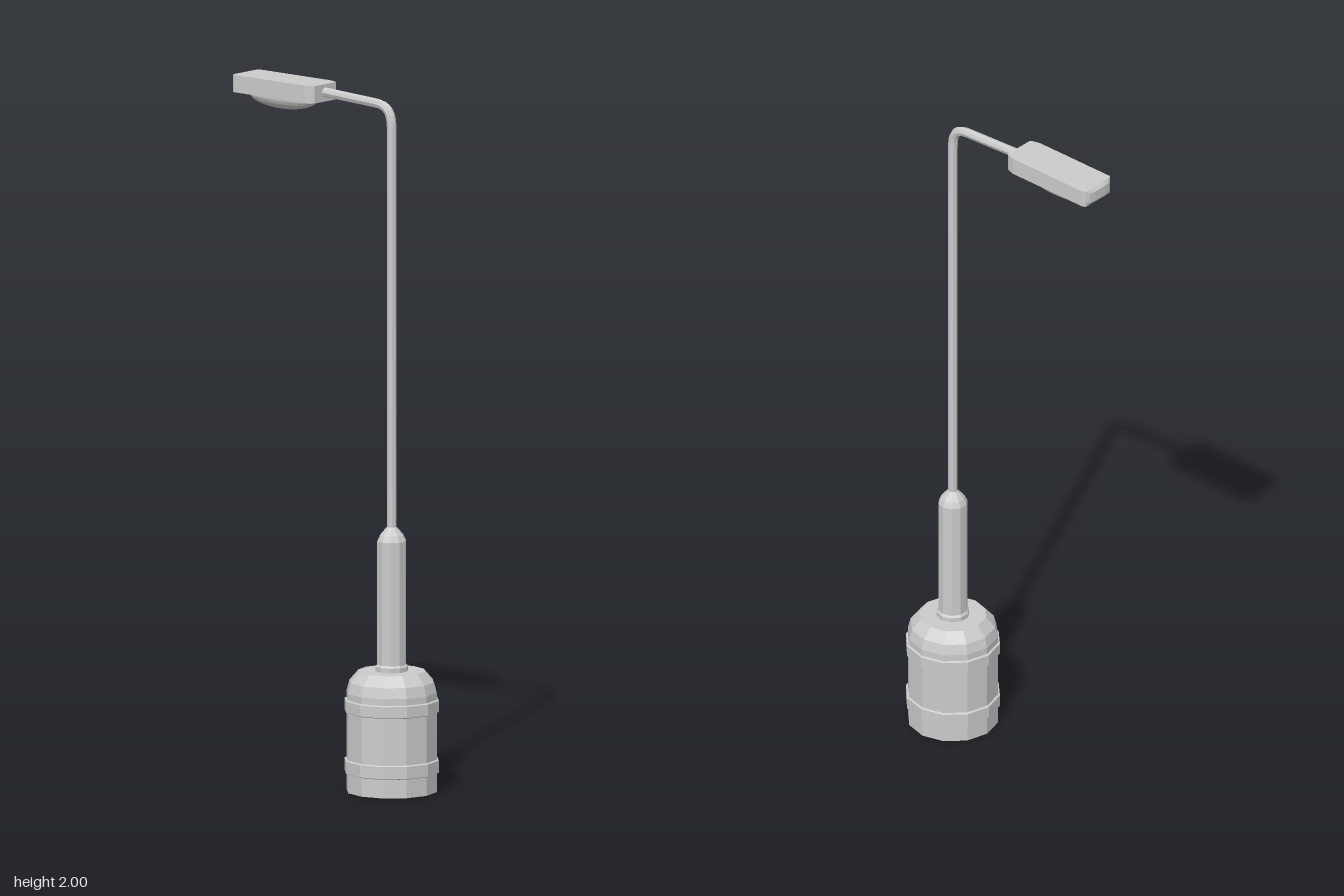
import * as THREE from 'three';

const POLE_X = 0.21;
const HEAD_X = -0.198;

const grey = () => new THREE.MeshStandardMaterial({ color: 0xcccccc, flatShading: true, side: THREE.DoubleSide });

function addMesh(parent, name, geometry) {
  const mesh = new THREE.Mesh(geometry, grey());
  mesh.name = name;
  parent.add(mesh);
  return mesh;
}

// Turned part from [radius, height] pairs
function turned(points, sides = 12) {
  return new THREE.LatheGeometry(points.map(([r, y]) => new THREE.Vector2(r, y)), sides);
}

export function createModel() {
  const model = new THREE.Group();
  model.name = 'streetLamp';

  // Everything that turns around the pole axis
  const post = new THREE.Group();
  post.name = 'post';
  post.position.x = POLE_X;
  model.add(post);

  // Hollow base drum, open underneath
  addMesh(post, 'baseDrum', turned([
    [0.13, 0], [0.13, 0.285], [0.122, 0.315], [0.096, 0.345], [0.03, 0.345],
  ]));

  // Raised bands round the drum
  for (const [name, y0, y1] of [['lowerBand', 0.053, 0.094], ['upperBand', 0.228, 0.266]]) {
    addMesh(post, name, turned([
      [0.129, y0], [0.136, y0 + 0.003], [0.136, y1 - 0.003], [0.129, y1],
    ]));
  }

  // Collar, thick sleeve and its tapered cap
  addMesh(post, 'sleeve', turned([
    [0.047, 0.345], [0.047, 0.358], [0.042, 0.364], [0.042, 0.718], [0.034, 0.735], [0.014, 0.758],
  ], 10));

  // Slim upright
  addMesh(post, 'pole', turned([[0.0135, 0.75], [0.0135, 1.9]], 8));

  // Bent arm, continuing the upright to the lamp head
  const path = new THREE.CurvePath();
  const v = (x, y) => new THREE.Vector3(x, y, 0);
  path.add(new THREE.CubicBezierCurve3(v(POLE_X, 1.898), v(POLE_X, 1.945), v(0.198, 1.966), v(0.15, 1.968)));
  path.add(new THREE.LineCurve3(v(0.15, 1.968), v(-0.06, 1.978)));
  addMesh(model, 'arm', new THREE.TubeGeometry(path, 24, 0.0138, 8, false));

  // Lamp housing: plan outline with clipped corners, far end eased at top and bottom
  const half = [[-0.04, 0.046], [-0.045, 0.05], [-0.068, 0.057], [-0.332, 0.057], [-0.34, 0.052], [-0.346, 0.04], [-0.349, 0.02]];
  const outline = [...half, ...half.slice().reverse().map(([x, z]) => [x, -z])];
  const housing = new THREE.ExtrudeGeometry(
    new THREE.Shape(outline.map(([x, z]) => new THREE.Vector2(x, z))),
    { depth: 0.05, steps: 5, bevelEnabled: false });
  housing.rotateX(-Math.PI / 2).translate(0, 1.95, 0);
  const pos = housing.attributes.position;
  for (let i = 0; i < pos.count; i++) {
    const y = pos.getY(i);
    if (y < 1.955 || y > 1.995) pos.setX(i, Math.max(pos.getX(i), -0.341));
  }
  housing.computeVertexNormals();
  addMesh(model, 'lampHousing', housing);

  // Oval rim and shallow lens below the housing
  const rim = addMesh(model, 'lensRim', turned([
    [1, 1.952], [1, 1.947], [0.92, 1.947],
  ], 24));
  rim.position.x = HEAD_X;
  rim.scale.set(0.132, 1, 0.046);

  const lens = addMesh(model, 'lens',
    new THREE.SphereGeometry(1, 24, 6, 0, Math.PI * 2, Math.PI / 2, Math.PI / 2));
  lens.position.set(HEAD_X, 1.95, 0);
  lens.scale.set(0.126, 0.038, 0.042);

  return model;
}
